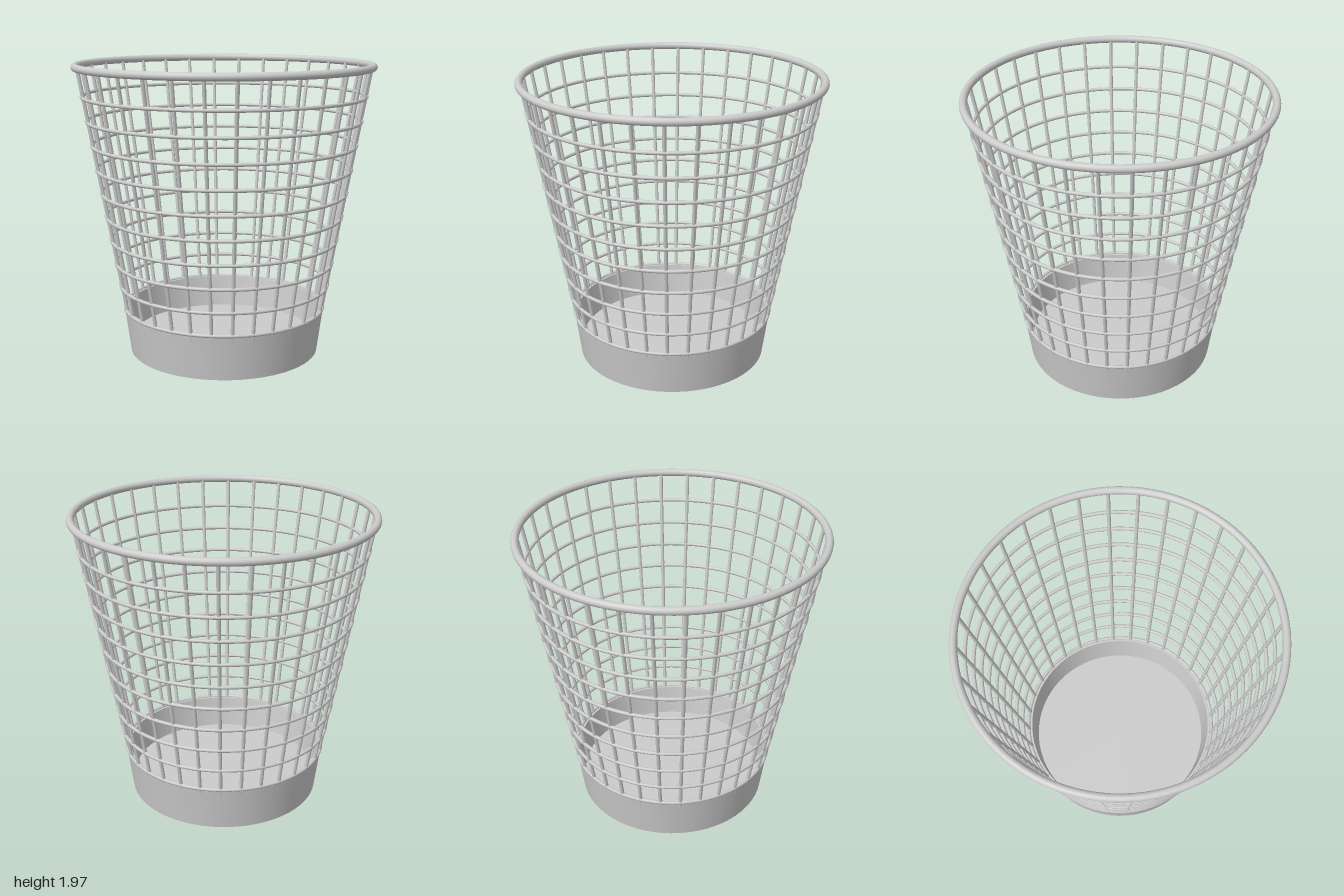
import * as THREE from 'three';

const material = new THREE.MeshStandardMaterial({ color: 0xcccccc });
const WIRES = 32;
const HOOPS = 10;

// Radius of the wire cone at height y
const wireRadius = (y) => 0.664 + (y - 0.24) * 0.177;

function add(parent, name, geometry) {
  const mesh = new THREE.Mesh(geometry, material);
  mesh.name = name;
  parent.add(mesh);
  return mesh;
}

function ring(parent, name, radius, tube, y, sides) {
  const mesh = add(parent, name, new THREE.TorusGeometry(radius, tube, sides, 96));
  mesh.rotation.x = Math.PI / 2;
  mesh.position.y = y;
}

// Lathe each straight run separately so the edges between them stay sharp
function lathe(parent, name, points) {
  const group = new THREE.Group();
  group.name = name;
  for (let i = 0; i + 1 < points.length; i++) {
    const run = [points[i], points[i + 1]].map(([r, y]) => new THREE.Vector2(r, y));
    add(group, name + 'Face', new THREE.LatheGeometry(run, 64));
  }
  parent.add(group);
}

export function createModel() {
  const basket = new THREE.Group();
  basket.name = 'wasteBasket';

  // Solid cup: underside, outer wall, lip, inner wall, floor
  lathe(basket, 'base', [[0, 0], [0.645, 0], [0.685, 0.305], [0.655, 0.305], [0.624, 0.09], [0, 0.09]]);

  // Slanted upright wires, sunk into the base wall at the foot
  const uprights = new THREE.Group();
  uprights.name = 'uprightWires';
  const foot = 0.2, head = 1.94;
  const run = wireRadius(head) - wireRadius(foot);
  const wire = new THREE.CylinderGeometry(0.012, 0.012, Math.hypot(run, head - foot), 10);
  wire.rotateZ(-Math.atan2(run, head - foot));
  wire.translate((wireRadius(foot) + wireRadius(head)) / 2, (foot + head) / 2, 0);
  for (let i = 0; i < WIRES; i++) {
    add(uprights, 'uprightWire', wire).rotation.y = (i / WIRES) * Math.PI * 2;
  }
  basket.add(uprights);

  // Horizontal hoops, evenly spaced
  const hoops = new THREE.Group();
  hoops.name = 'hoops';
  for (let i = 0; i < HOOPS; i++) {
    const y = 0.307 + i * 0.16;
    ring(hoops, 'hoop', wireRadius(y) + 0.005, 0.012, y, 10);
  }
  basket.add(hoops);

  // Thick rolled rim
  ring(basket, 'rim', 0.975, 0.025, 1.94, 16);

  return basket;
}
